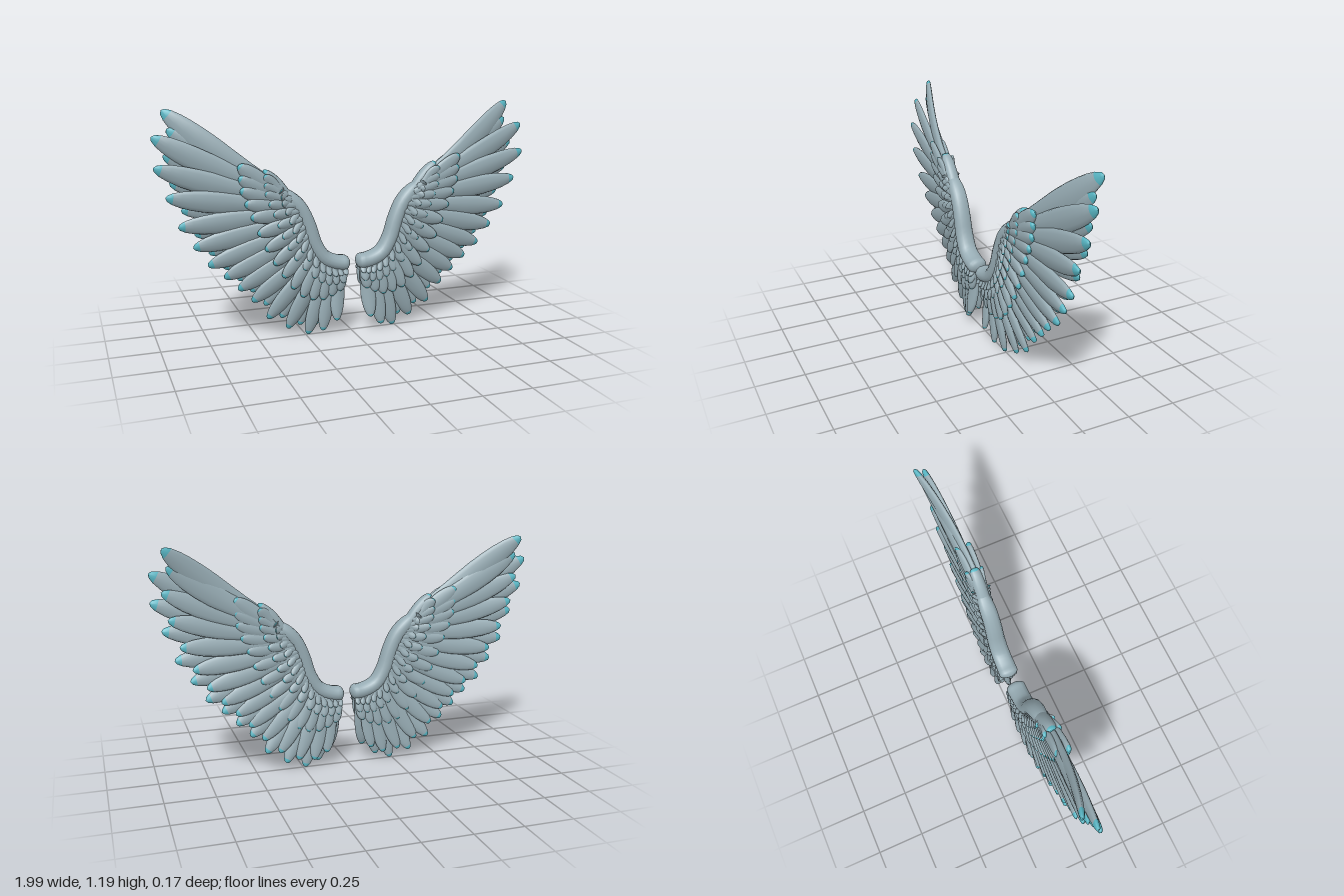
import * as THREE from 'three';

const plumage = new THREE.MeshStandardMaterial({ color: 0x98adb5 });
plumage.name = 'grey blue plumage';
const tipTeal = new THREE.MeshStandardMaterial({ color: 0x58b6c4 });
tipTeal.name = 'teal feather tip';

const SIDES = 14;

// Loft of oval sections along a curve lying nearly in the xy plane.
// widthAt / depthAt give half sizes; rings from tipRing on take the tip colour.
function loft(curve, ts, widthAt, depthAt, { tilt = 0, ridge = 0, power = 0.8, tipRing = 99, mirror = 1 } = {}) {
  const pos = [], index = [];
  ts.forEach((t) => {
    const p = curve.getPoint(t), d = curve.getTangent(t);
    const len = Math.hypot(d.x, d.y) || 1;
    const sx = -d.y / len, sy = d.x / len;
    const w = widthAt(t), h = depthAt(t);
    for (let j = 0; j < SIDES; j++) {
      const a = (j / SIDES) * Math.PI * 2;
      const c = Math.cos(a), s = Math.sin(a);
      const u = c * w;
      const shaft = 1 + ridge * Math.exp(-((c / 0.3) ** 2));
      const v = Math.sign(s) * Math.abs(s) ** power * h * shaft + u * tilt;
      pos.push((p.x + sx * u) * mirror, p.y + sy * u, p.z + v);
    }
  });
  let split = 0;
  for (let i = 0; i < ts.length - 1; i++) {
    if (i === tipRing) split = index.length;
    for (let j = 0; j < SIDES; j++) {
      const k = (j + 1) % SIDES;
      const a = i * SIDES + j, b = i * SIDES + k, c = a + SIDES, e = b + SIDES;
      if (mirror > 0) index.push(a, b, c, b, e, c);
      else index.push(a, c, b, b, c, e);
    }
  }
  const g = new THREE.BufferGeometry();
  g.setAttribute('position', new THREE.Float32BufferAttribute(pos, 3));
  g.setIndex(index);
  g.computeVertexNormals();
  if (split) {
    g.addGroup(0, split, 0);
    g.addGroup(split, index.length - split, 1);
  }
  return g;
}

const V = (x, y, z = 0) => new THREE.Vector3(x, y, z);
const spline = (pts) => new THREE.CatmullRomCurve3(pts.map((p) => V(...p)));

// One feather: narrow root, broad vane, rounded point
const FEATHER_TS = [0, 0.04, 0.15, 0.3, 0.45, 0.58, 0.7, 0.8, 0.88, 0.945, 0.985, 1];
function feather(name, root, tip, halfWidth, depth, { bow = 0, tilt = 0.12, mirror = 1 } = {}) {
  const dx = tip.x - root.x, dy = tip.y - root.y;
  const mid = V((root.x + tip.x) / 2 - dy * bow, (root.y + tip.y) / 2 + dx * bow, root.z);
  const curve = new THREE.QuadraticBezierCurve3(root, mid, tip);
  const end = (t) => (t < 0.6 ? 1 : Math.sqrt(Math.max(0, 1 - ((t - 0.6) / 0.4) ** 2.2)));
  const start = (t) => Math.min(1, t / 0.04);
  const width = (t) => halfWidth * start(t) * (0.55 + 0.45 * Math.min(1, t / 0.55)) * end(t);
  const thick = (t) => depth * start(t) * Math.sqrt(end(t));
  const geo = loft(curve, FEATHER_TS, width, thick, { tilt, ridge: 0.25, tipRing: 9, mirror });
  const mesh = new THREE.Mesh(geo, [plumage, tipTeal]);
  mesh.name = name;
  return mesh;
}

// Flight feather tips, from the wing tip round to the body
const FLIGHT_TIPS = [
  [0.935, 1.19, -0.08], [0.995, 1.07, -0.02], [0.995, 0.925, 0.01], [0.945, 0.78, 0.02], [0.89, 0.63, 0.01],
  [0.82, 0.52, 0], [0.75, 0.42, -0.01], [0.67, 0.35, -0.01], [0.6, 0.28, -0.015], [0.53, 0.21, -0.015],
  [0.45, 0.11, -0.015], [0.345, 0.045, -0.015], [0.24, 0.005, 0], [0.165, 0.025, 0.025], [0.095, 0.08, 0.05],
];

// Rows of shorter feathers overlapping the flight feathers, on both faces
const COVERT_ROWS = [
  { name: 'greaterCovert', n: 15, half: 0.042, depth: 0.016, front: 0.046, back: -0.016,
    tips: [[0.595, 0.925], [0.59, 0.8], [0.54, 0.66], [0.47, 0.49], [0.38, 0.34], [0.28, 0.225], [0.17, 0.2], [0.075, 0.24]] },
  { name: 'medianCovert', n: 15, half: 0.031, depth: 0.014, front: 0.06, back: -0.021,
    tips: [[0.47, 0.87], [0.47, 0.78], [0.43, 0.67], [0.385, 0.55], [0.32, 0.43], [0.22, 0.325], [0.14, 0.28], [0.06, 0.285]] },
  { name: 'lesserCovert', n: 15, half: 0.022, depth: 0.012, front: 0.069, back: -0.024,
    tips: [[0.39, 0.79], [0.385, 0.72], [0.345, 0.62], [0.31, 0.52], [0.25, 0.42], [0.17, 0.35], [0.1, 0.325], [0.045, 0.33]] },
];

function buildWing(mirror) {
  const wing = new THREE.Group();
  wing.name = mirror > 0 ? 'leftWing' : 'rightWing';

  // Rounded arm along the leading edge
  const arm = spline([
    [0.02, 0.385, 0.026], [0.09, 0.392, 0.026], [0.16, 0.425, 0.026], [0.208, 0.5, 0.025],
    [0.24, 0.6, 0.024], [0.28, 0.685, 0.022], [0.335, 0.745, 0.02], [0.39, 0.79, 0.02],
  ]);
  const armTs = Array.from({ length: 33 }, (_, i) => (1 - Math.cos((i / 32) * Math.PI)) / 2);
  const cap = (t) => Math.sqrt(Math.max(0, 1 - Math.max(0, 1 - t / 0.06) ** 2))
    * Math.sqrt(Math.max(0, 1 - Math.max(0, (t - 0.75) / 0.25) ** 2));
  const armMesh = new THREE.Mesh(
    loft(arm, armTs, (t) => 0.04 * cap(t), (t) => (0.054 - 0.012 * t) * cap(t), { mirror }), plumage);
  armMesh.name = 'wingArm';
  wing.add(armMesh);

  // Long flight feathers
  const count = FLIGHT_TIPS.length;
  const rootAt = (f, z) => arm.getPoint(0.96 - 0.88 * f).setZ(z);
  FLIGHT_TIPS.forEach((tip, i) => {
    const f = i / (count - 1);
    wing.add(feather('flightFeather', rootAt(f, 0.022), V(...tip), 0.06 - 0.02 * f, 0.018,
      { bow: -0.05 * (1 - f * 1.6), mirror }));
  });

  // Slightly shorter flight feathers behind, filling the gaps
  for (let i = 0; i < count - 1; i++) {
    const f = (i + 0.5) / (count - 1);
    const root = rootAt(f, -0.002);
    const tip = V(...FLIGHT_TIPS[i]).lerp(V(...FLIGHT_TIPS[i + 1]), 0.5);
    tip.lerp(root, 0.08).setZ(i === 0 ? -0.06 : i < 4 ? -0.032 : -0.018);
    wing.add(feather('rearFlightFeather', root, tip, 0.055 - 0.018 * f, 0.014,
      { bow: -0.05 * (1 - f * 1.6), mirror }));
  }

  // Covert rows, front and back
  for (const row of COVERT_ROWS) {
    const tips = spline(row.tips);
    for (let i = 0; i < row.n; i++) {
      const f = i / (row.n - 1);
      const tip = tips.getPoint(f);
      const half = row.half * (1 - 0.2 * f);
      const bow = -0.06 * (1 - f * 1.6);
      wing.add(feather(row.name + 'Front', rootAt(f, 0.045), V(tip.x, tip.y, row.front), half, row.depth,
        { bow, mirror }));
      wing.add(feather(row.name + 'Back', rootAt(f, 0), V(tip.x, tip.y, row.back), half, row.depth,
        { bow, mirror }));
    }
  }

  // Plume lying along the outer leading edge
  wing.add(feather('edgePlume', V(0.3, 0.7, 0.02), V(0.465, 0.89, 0.02), 0.03, 0.03, { bow: 0.03, tilt: 0, mirror }));
  return wing;
}

export function createModel() {
  const model = new THREE.Group();
  model.name = 'featheredWings';
  model.add(buildWing(1), buildWing(-1));
  return model;
}
